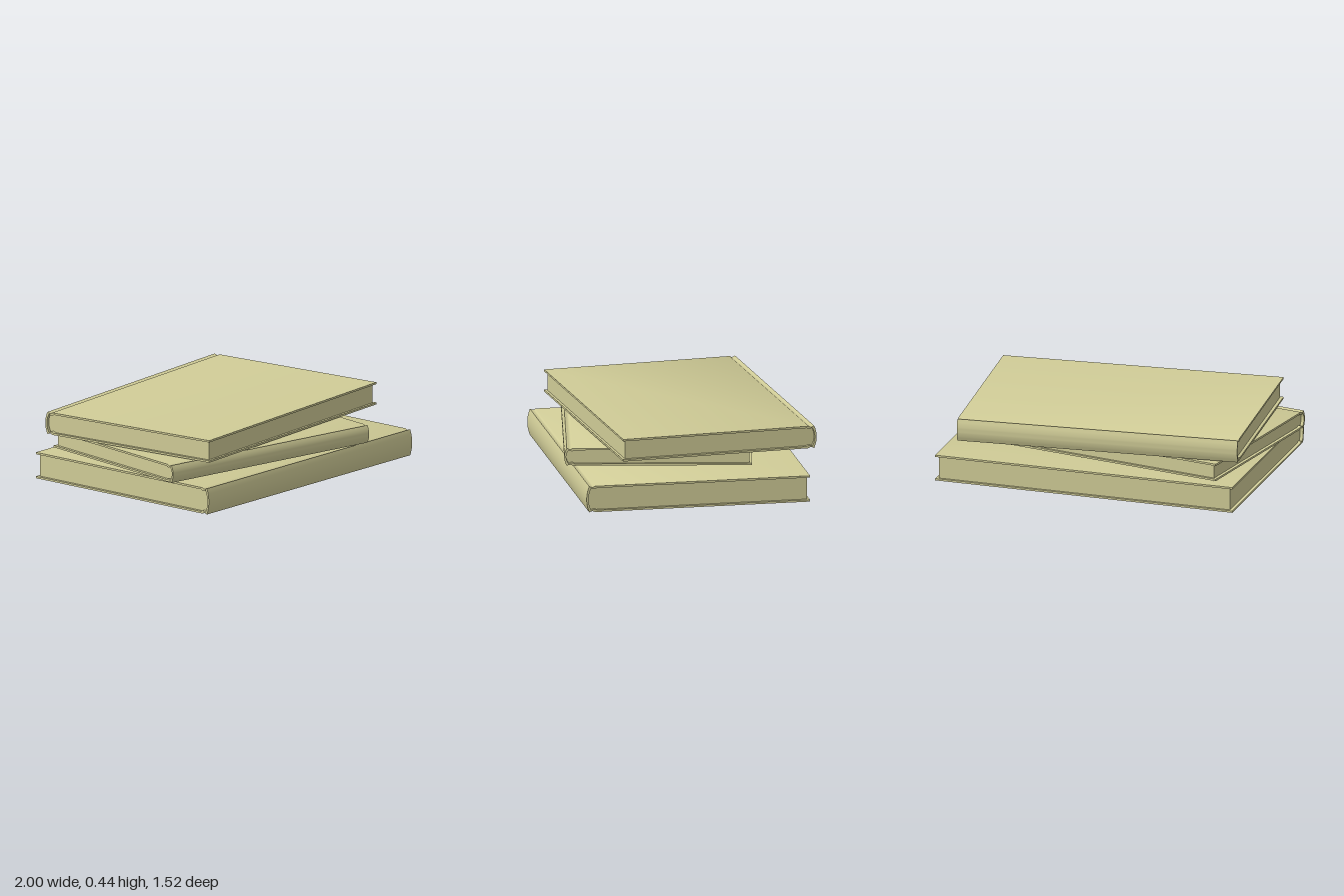
import * as THREE from 'three';
import { toCreasedNormals } from 'three/addons/utils/BufferGeometryUtils.js';

const BOARD = 0.012; // cover thickness

// Outline of a closed book seen from its end (x = towards the spine, y = up),
// shrunk by t at the boards and spine, running from top fore edge to bottom.
function outline(depth, height, t, foreInset) {
  const s = depth / 2 - t;
  const half = height / 2;
  const top = half - t;
  const pts = [
    [-depth / 2 + foreInset, top],
    [s - 0.052, top],
    [s - 0.044, top - 0.005],
    [s - 0.036, top - 0.007],
    [s - 0.028, top - 0.005],
    [s - 0.018, top],
  ].map(([x, y]) => new THREE.Vector2(x, y));
  const spine = new THREE.QuadraticBezierCurve(
    new THREE.Vector2(s - 0.016, top),
    new THREE.Vector2(s + 0.016, 0),
    new THREE.Vector2(s - 0.016, -top)
  ).getPoints(14);
  const lower = pts.map((p) => new THREE.Vector2(p.x, -p.y)).reverse();
  return [...pts, ...spine, ...lower];
}

// Sweep an end-on outline along the length of the book
function sweep(points, length, material, name) {
  let geo = new THREE.ExtrudeGeometry(new THREE.Shape(points), {
    depth: length, bevelEnabled: false, steps: 1,
  });
  geo.translate(0, 0, -length / 2);
  geo.rotateY(-Math.PI / 2);
  geo = toCreasedNormals(geo, 0.7);
  const mesh = new THREE.Mesh(geo, material);
  mesh.name = name;
  return mesh;
}

function makeBook({ name, length, depth, height, base, x, z, turn }, material) {
  const book = new THREE.Group();
  book.name = name;

  // Cover: outer outline joined to the inner one, open at the fore edge
  const outer = outline(depth, height, 0, 0);
  const inner = outline(depth, height, BOARD, 0).reverse();
  book.add(sweep([...outer, ...inner], length, material, 'cover'));

  // Pages: fill the cover, set back at the fore edge and both ends
  const pages = outline(depth, height, BOARD, 0.016);
  book.add(sweep(pages, length - 0.04, material, 'pages'));

  book.position.set(x, base + height / 2, z);
  book.rotation.y = THREE.MathUtils.degToRad(turn);
  return book;
}

export function createModel() {
  const group = new THREE.Group();
  group.name = 'bookStack';
  const cream = new THREE.MeshStandardMaterial({ color: 0xd0cc97 });
  cream.name = 'cream';

  const books = [
    { name: 'bottomBook', length: 1.92, depth: 1.395, height: 0.164, base: 0, x: 0.04, z: 0.007, turn: 0 },
    { name: 'middleBook', length: 1.558, depth: 1.152, height: 0.11, base: 0.179, x: -0.1325, z: 0.0525, turn: -10 },
    { name: 'topBook', length: 1.767, depth: 1.234, height: 0.14, base: 0.296, x: 0.009, z: -0.0725, turn: 185 },
  ];
  for (const b of books) group.add(makeBook(b, cream));
  return group;
}
